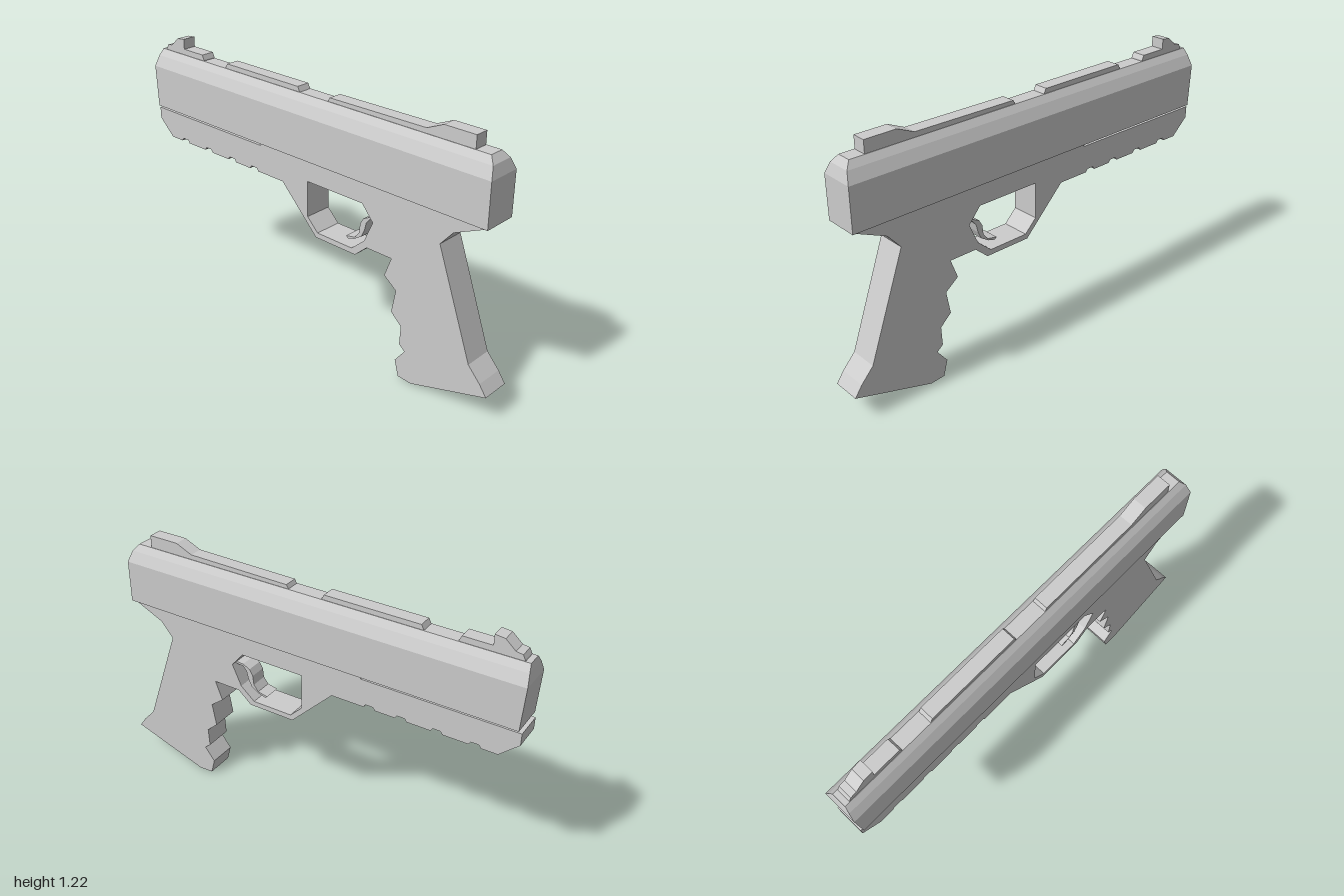
import * as THREE from 'three';

const material = new THREE.MeshStandardMaterial({ color: 0xcccccc, flatShading: true });

const toPoints = (pairs) => pairs.map(([x, y]) => new THREE.Vector2(x, y));

// Side profile extruded symmetrically about z = 0
function plate(name, outline, halfWidth, hole) {
  const shape = new THREE.Shape(toPoints(outline));
  if (hole) shape.holes.push(new THREE.Path(toPoints(hole)));
  const geometry = new THREE.ExtrudeGeometry(shape, { depth: halfWidth * 2, bevelEnabled: false });
  geometry.translate(0, 0, -halfWidth);
  const mesh = new THREE.Mesh(geometry, material);
  mesh.name = name;
  return mesh;
}

// Stack of rectangles [y, xMin, xMax, halfZ] joined from bottom to top
function stack(name, levels) {
  const positions = [];
  const quad = (a, b, c, d) => positions.push(...a, ...b, ...c, ...a, ...c, ...d);
  const rings = levels.map(([y, x0, x1, z]) => [[x0, y, z], [x1, y, z], [x1, y, -z], [x0, y, -z]]);
  for (let i = 0; i < rings.length - 1; i++) {
    for (let k = 0; k < 4; k++) {
      const n = (k + 1) % 4;
      quad(rings[i][k], rings[i][n], rings[i + 1][n], rings[i + 1][k]);
    }
  }
  quad(...rings[0].slice().reverse());
  quad(...rings[rings.length - 1]);
  const geometry = new THREE.BufferGeometry();
  geometry.setAttribute('position', new THREE.Float32BufferAttribute(positions, 3));
  geometry.computeVertexNormals();
  const mesh = new THREE.Mesh(geometry, material);
  mesh.name = name;
  return mesh;
}

export function createModel() {
  const model = new THREE.Group();
  model.name = 'pistol';

  // Slide with chamfered top and sloped ends
  model.add(stack('slide', [
    [0.86, -0.99, 0.95, 0.08],
    [1.06, -1.0, 0.95, 0.08],
    [1.11, -0.992, 0.935, 0.056],
    [1.14, -0.985, 0.91, 0.034],
  ]));

  // Accessory rail notches along the underside
  const notches = [];
  for (const x of [-0.815, -0.645, -0.48, -0.33]) {
    notches.push([x - 0.027, 0.712], [x - 0.018, 0.726], [x + 0.018, 0.726], [x + 0.027, 0.712]);
  }

  // Frame: rail, trigger guard and finger-grooved grip in one profile
  model.add(plate('frame', [
    [-1, 0.845], [-1, 0.79], [-0.915, 0.712],
    ...notches,
    [-0.145, 0.712], [0.06, 0.505], [0.29, 0.505], [0.355, 0.562], [0.49, 0.562],
    [0.455, 0.47], [0.52, 0.42], [0.5, 0.31], [0.555, 0.26], [0.55, 0.17], [0.58, 0.145],
    [0.53, 0.08], [0.55, 0.005], [0.62, 0], [1, 0.12], [0.965, 0.17], [0.905, 0.235],
    [0.73, 0.72], [0.79, 0.79], [0.945, 0.86], [0.945, 0.87], [-0.285, 0.87], [-0.285, 0.845],
  ], 0.067, [
    [0.01, 0.76], [0.01, 0.59], [0.07, 0.53], [0.27, 0.53], [0.34, 0.59], [0.385, 0.69], [0.325, 0.76],
  ]));

  // Curved trigger
  model.add(plate('trigger', [
    [0.4, 0.695], [0.345, 0.692], [0.31, 0.675], [0.293, 0.645], [0.288, 0.6], [0.265, 0.57],
    [0.215, 0.56], [0.225, 0.55], [0.26, 0.56], [0.3, 0.585], [0.317, 0.62], [0.327, 0.66],
    [0.345, 0.682], [0.4, 0.685],
  ], 0.04));

  // Raised parts along the top of the slide
  model.add(plate('frontSight', [
    [-0.965, 1.13], [-0.96, 1.145], [-0.95, 1.165], [-0.92, 1.17], [-0.875, 1.21], [-0.83, 1.215],
    [-0.83, 1.167], [-0.7, 1.167], [-0.69, 1.145], [-0.69, 1.13],
  ], 0.032));
  model.add(plate('topRib', [
    [-0.54, 1.13], [-0.54, 1.14], [-0.528, 1.163], [-0.08, 1.163], [-0.068, 1.14], [-0.068, 1.13],
  ], 0.032));
  model.add(plate('rearSight', [
    [0.095, 1.13], [0.095, 1.14], [0.105, 1.158], [0.61, 1.163], [0.69, 1.198], [0.84, 1.198], [0.84, 1.13],
  ], 0.032));

  return model;
}
